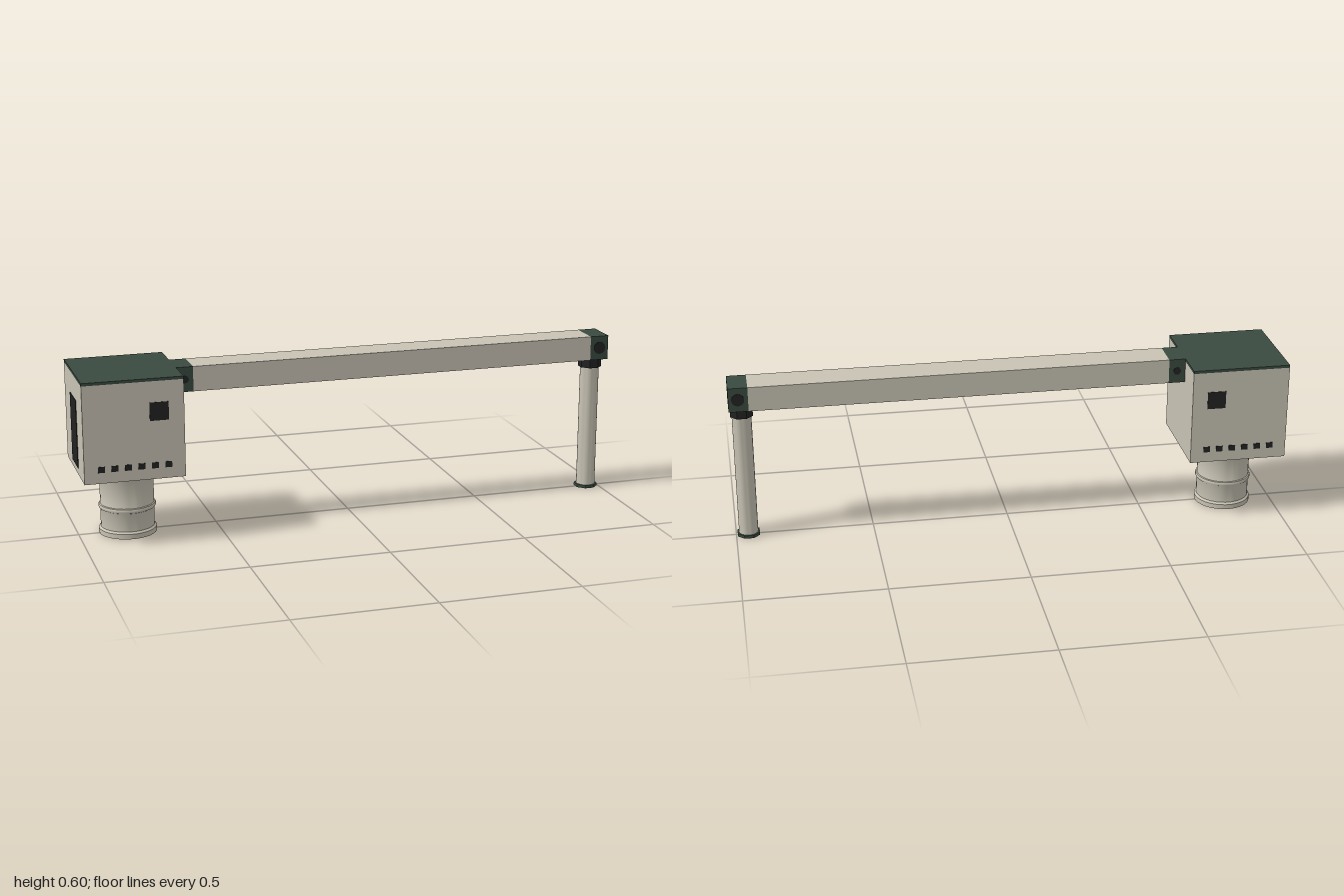
import * as THREE from 'three';
import { toCreasedNormals } from 'three/addons/utils/BufferGeometryUtils.js';

export function createModel() {
  const model = new THREE.Group();
  const material = (name, color) => {
    const m = new THREE.MeshStandardMaterial({ color });
    m.name = name;
    return m;
  };
  const beige = material('beige', 0xc8c3b4);
  const green = material('darkGreen', 0x3a4a40);
  const black = material('black', 0x222222);

  const add = (name, geometry, mat, x = 0, y = 0, z = 0) => {
    const mesh = new THREE.Mesh(geometry, mat);
    mesh.name = name;
    mesh.position.set(x, y, z);
    model.add(mesh);
    return mesh;
  };
  // Box given by its limits in x and y and its full depth in z
  const block = (name, mat, x0, x1, y0, y1, depth, z = 0) =>
    add(name, new THREE.BoxGeometry(x1 - x0, y1 - y0, depth), mat, (x0 + x1) / 2, (y0 + y1) / 2, z);
  const lathe = (name, mat, profile, segments, x, crease = 0.6) => {
    const points = profile.map(([r, y]) => new THREE.Vector2(r, y));
    const geometry = new THREE.LatheGeometry(points, segments, Math.PI / segments);
    return add(name, toCreasedNormals(geometry, crease), mat, x);
  };

  const cabinetX = -0.8225, legX = 0.955;

  // Cabinet with its roof plate
  block('cabinet', beige, -1, -0.645, 0.24, 0.59, 0.36);
  block('roofPlate', green, -1, -0.645, 0.59, 0.6, 0.36);

  // Arm: joint, long beam and end block
  block('armJoint', green, -0.645, -0.585, 0.51, 0.6, 0.12);
  block('beam', beige, -0.585, 0.93, 0.51, 0.6, 0.12);
  block('endBlock', green, 0.93, 1, 0.51, 0.6, 0.12);

  // Windows, vent slots and pivot caps on front and back
  for (const side of [1, -1]) {
    block('window', black, -0.767, -0.7, 0.45, 0.515, 0.004, side * 0.18);
    for (let i = 0; i < 6; i++) {
      const x = cabinetX + (i - 2.5) * 0.047;
      block('ventSlot', black, x - 0.012, x + 0.012, 0.279, 0.3, 0.004, side * 0.18);
    }
    for (const [x, r] of [[-0.615, 0.014], [0.966, 0.023]]) {
      const cap = add('pivotCap', new THREE.CylinderGeometry(r, r, 0.004, 12), black, x, 0.555, side * 0.06);
      cap.rotation.x = Math.PI / 2;
    }
  }

  // Door panel on the outer end of the cabinet
  block('doorPanel', black, -1.002, -0.998, 0.265, 0.51, 0.12);

  // Hollow flanged pipe under the cabinet
  lathe('pipe', beige, [
    [0.087, 0.24], [0.087, 0.02], [0.094, 0.0], [0.103, 0.0], [0.103, 0.018], [0.096, 0.025],
    [0.096, 0.092], [0.1, 0.094], [0.102, 0.098], [0.102, 0.104], [0.1, 0.108], [0.096, 0.11],
    [0.096, 0.211], [0.1, 0.212], [0.103, 0.218], [0.103, 0.24],
  ], 32, cabinetX);

  // Hollow leg with an octagonal collar and foot ring
  lathe('leg', beige, [[0.031, 0.48], [0.031, 0.004], [0.035, 0.004], [0.035, 0.48]], 24, legX);
  lathe('legCollar', black, [[0, 0.473], [0.0433, 0.473], [0.0433, 0.51]], 8, legX, 0.3);
  lathe('footRing', green, [[0.034, 0.011], [0.034, 0], [0.0433, 0], [0.0433, 0.011], [0.034, 0.011]], 8, legX, 0.3);

  return model;
}
